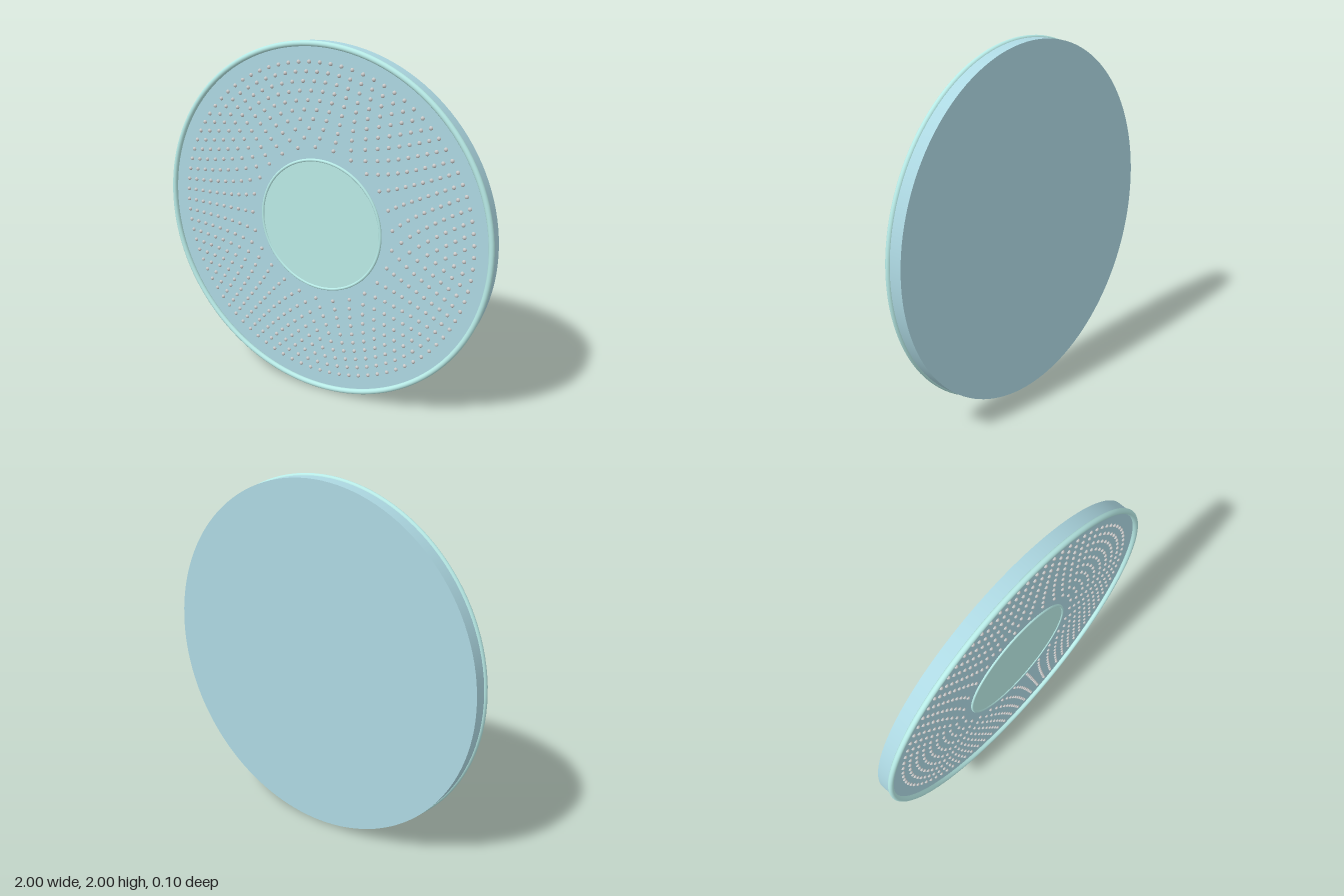
import * as THREE from 'three';
import { mergeGeometries } from 'three/addons/utils/BufferGeometryUtils.js';

const FACE_Z = 0.025;

function part(parent, name, geometry, color, z = 0) {
  const material = new THREE.MeshStandardMaterial({ color });
  const mesh = new THREE.Mesh(geometry, material);
  mesh.name = name;
  mesh.position.z = z;
  parent.add(mesh);
  return mesh;
}

// Solid disc whose axis runs along z, between two depths
function disc(radius, back, front, segments = 128) {
  return new THREE.CylinderGeometry(radius, radius, front - back, segments)
    .rotateX(Math.PI / 2)
    .translate(0, 0, (back + front) / 2);
}

// Rings of small studs; each ring outward holds seven more than the last
function studs() {
  const pieces = [];
  for (let ring = 0; ring < 10; ring++) {
    const radius = 0.44 + ring * 0.05;
    const count = 25 + ring * 7;
    for (let i = 0; i < count; i++) {
      const a = Math.PI - (i / count) * Math.PI * 2;
      pieces.push(new THREE.SphereGeometry(0.011, 10, 6)
        .translate(radius * Math.cos(a), radius * Math.sin(a), FACE_Z));
    }
  }
  return mergeGeometries(pieces);
}

export function createModel() {
  const model = new THREE.Group();
  model.name = 'studdedDisc';
  const plate = new THREE.Group();
  plate.name = 'plate';
  plate.position.y = 1;
  model.add(plate);

  // Main body with its rounded front rim
  part(plate, 'body', disc(0.99, -0.05, FACE_Z), 0xadd8e2);
  part(plate, 'outerRim', new THREE.TorusGeometry(0.985, 0.015, 16, 128), 0xb8ebe7, 0.035);

  // Centre panel and the thin ring around it
  part(plate, 'centrePanel', disc(0.368, FACE_Z - 0.01, FACE_Z + 0.004, 96), 0xbaebe6);
  part(plate, 'centreRing', new THREE.TorusGeometry(0.368, 0.008, 12, 96), 0xb8ebe7, FACE_Z + 0.002);

  part(plate, 'studs', studs(), 0xdddddd);
  return model;
}
